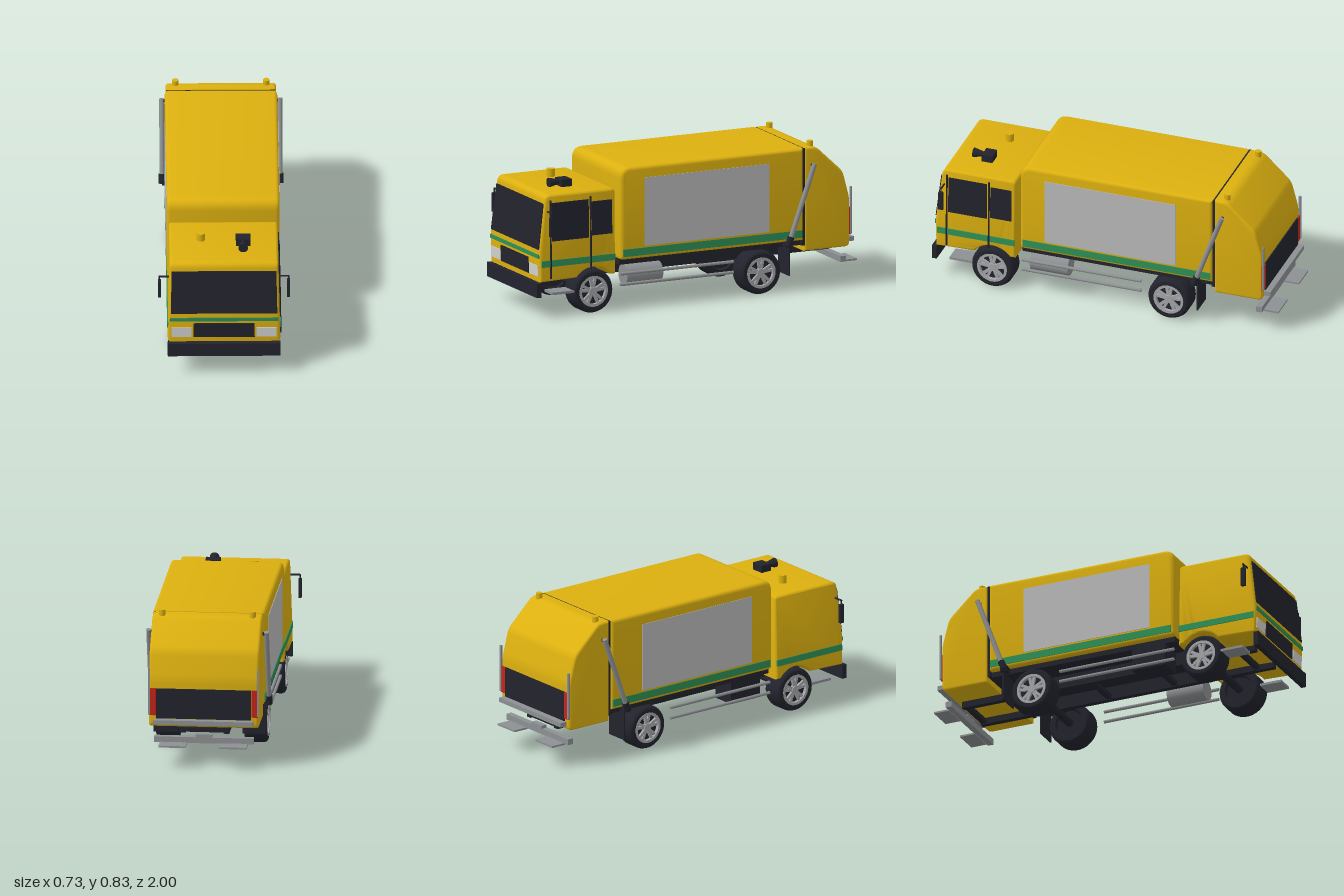
import * as THREE from 'three';
import { toCreasedNormals } from 'three/addons/utils/BufferGeometryUtils.js';

const mat = (name, color) => new THREE.MeshStandardMaterial({ name, color });

export function createModel() {
  const yellow = mat('yellow paint', 0xdcb00f);
  const black = mat('black', 0x22232d);
  const green = mat('green stripe', 0x2f9158);
  const panelGrey = mat('panel grey', 0xbababa);
  const lampWhite = mat('lamp white', 0xd2d2d0);
  const steel = mat('steel', 0x8d9092);
  const rimGrey = mat('rim grey', 0xa4a7a9);
  const red = mat('red lamp', 0xc4241a);

  const truck = new THREE.Group();
  truck.name = 'refuseTruck';

  const add = (name, geo, material, parent = truck) => {
    const m = new THREE.Mesh(geo, material);
    m.name = name;
    parent.add(m);
    return m;
  };
  // box given by its extents
  const box = (name, material, [x0, x1], [y0, y1], [z0, z1], parent) => {
    const g = new THREE.BoxGeometry(x1 - x0, y1 - y0, z1 - z0);
    g.translate((x0 + x1) / 2, (y0 + y1) / 2, (z0 + z1) / 2);
    return add(name, g, material, parent);
  };
  // box on side s (+1 or -1), x measured outwards
  const sideBox = (name, material, s, [x0, x1], y, z) =>
    box(name, material, s > 0 ? [x0, x1] : [-x1, -x0], y, z);
  // round bar between two points
  const bar = (name, material, a, b, r, r2 = r, sides = 16) => {
    const A = new THREE.Vector3(...a), B = new THREE.Vector3(...b);
    const m = add(name, new THREE.CylinderGeometry(r2, r, A.distanceTo(B), sides), material);
    m.position.copy(A).add(B).multiplyScalar(0.5);
    m.quaternion.setFromUnitVectors(new THREE.Vector3(0, 1, 0), B.sub(A).normalize());
    return m;
  };
  // side profile of [z, y, corner radius], extruded across x with rounded edges
  const prism = (pts, halfWidth, bevel) => {
    const shape = new THREE.Shape();
    const n = pts.length;
    pts.forEach(([z, y, r = 0], i) => {
      const p = new THREE.Vector2(z, y);
      const toward = (q) => new THREE.Vector2(q[0], q[1]).sub(p).setLength(r).add(p);
      const a = r ? toward(pts[(i + n - 1) % n]) : p;
      if (i) shape.lineTo(a.x, a.y); else shape.moveTo(a.x, a.y);
      if (r) {
        const b = toward(pts[(i + 1) % n]);
        shape.quadraticCurveTo(z, y, b.x, b.y);
      }
    });
    const depth = 2 * (halfWidth - bevel);
    const g = new THREE.ExtrudeGeometry(shape, {
      depth, curveSegments: 8, bevelEnabled: true, bevelSegments: 4,
      bevelSize: bevel, bevelThickness: bevel, bevelOffset: -bevel,
    });
    g.translate(0, 0, -depth / 2);
    g.rotateY(-Math.PI / 2);
    return g;
  };

  // cab: narrows slightly towards the roof
  const taper = (g) => {
    const p = g.attributes.position;
    for (let i = 0; i < p.count; i++) p.setX(i, p.getX(i) * (1 - 0.07 * (p.getY(i) - 0.2)));
    g.computeVertexNormals();
    return g;
  };
  const arch = [];
  for (let i = 0; i <= 14; i++) {
    const a = 2.48 - (i / 14) * (2.48 - 0.66);
    arch.push([0.65 + 0.13 * Math.cos(a), 0.13 + 0.13 * Math.sin(a)]);
  }
  const cab = [[0.977, 0.203], [0.982, 0.36], [0.942, 0.69, 0.035], [0.515, 0.69, 0.02], [0.515, 0.21], ...arch];
  add('cab', toCreasedNormals(taper(prism(cab, 0.31, 0.014)), 0.6), yellow);

  // thin plates that follow the sloping cab front
  const frontZ = (y) => (y < 0.36 ? 0.977 + (y - 0.203) * 0.032 : 0.982 - (y - 0.36) * 0.121);
  const frontPlate = (name, material, x0, x1, y0, y1) => {
    const g = new THREE.BoxGeometry(x1 - x0, y1 - y0, 0.008);
    g.translate((x0 + x1) / 2, (y0 + y1) / 2, 0.001);
    const p = g.attributes.position;
    for (let i = 0; i < p.count; i++) p.setZ(i, p.getZ(i) + frontZ(p.getY(i)));
    add(name, taper(g), material);
  };
  frontPlate('windscreen', black, -0.297, 0.297, 0.387, 0.642);
  frontPlate('frontStripe', green, -0.302, 0.302, 0.338, 0.36);
  frontPlate('grille', black, -0.169, 0.169, 0.233, 0.323);
  for (const s of [-1, 1]) frontPlate('headlight', lampWhite, s * 0.235 - 0.055, s * 0.235 + 0.055, 0.235, 0.295);
  box('frontBumper', black, [-0.31, 0.31], [0.12, 0.2], [0.972, 1]);

  // door glass and grab rails on the left side
  const glass = [[0.905, 0.68, 0.43, 0.645], [0.66, 0.537, 0.44, 0.63]];
  for (const [z1, z0, y0, y1] of glass) taper(sideBox('sideWindow', black, 1, [0.308, 0.315], [y0, y1], [z0, z1]).geometry);
  bar('grabRail', black, [0.312, 0.22, 0.914], [0.304, 0.66, 0.914], 0.005);
  bar('grabRail', black, [0.312, 0.25, 0.668], [0.304, 0.66, 0.668], 0.005);

  // roof beacon and horn
  bar('cabBeacon', yellow, [-0.125, 0.685, 0.7], [-0.125, 0.735, 0.7], 0.023, 0.023, 24);
  box('hornBody', black, [0.067, 0.147], [0.688, 0.731], [0.705, 0.768]);
  bar('hornBell', black, [0.107, 0.714, 0.765], [0.107, 0.714, 0.828], 0.013, 0.027, 20);

  // refuse body
  const body = [[0.485, 0.28, 0.02], [0.485, 0.8, 0.065], [-0.637, 0.8], [-0.637, 0.28]];
  add('refuseBody', toCreasedNormals(prism(body, 0.31, 0.02), 0.6), yellow);
  box('tailgateSeal', black, [-0.298, 0.298], [0.25, 0.797], [-0.652, -0.63]);

  // rear hopper
  const hopper = [[-0.647, 0.217], [-0.647, 0.8], [-0.72, 0.8, 0.03], [-0.885, 0.645, 0.03],
    [-0.926, 0.49, 0.03], [-0.926, 0.217, 0.03]].reverse();
  add('rearHopper', toCreasedNormals(prism(hopper, 0.303, 0.014), 0.6), yellow);
  box('rearPanel', black, [-0.262, 0.262], [0.268, 0.437], [-0.933, -0.925]);
  box('rearStep', steel, [-0.275, 0.275], [0.24, 0.265], [-0.965, -0.92]);
  box('rearBumper', steel, [-0.275, 0.275], [0.127, 0.16], [-0.915, -0.88]);
  box('plateHolder', steel, [-0.045, 0.045], [0.155, 0.178], [-0.92, -0.885]);

  // chassis
  box('subframe', black, [-0.28, 0.28], [0.25, 0.282], [-0.64, 0.48]);
  for (const z of [0.8, 0.3, -0.1, -0.6, -0.86]) box('crossMember', black, [-0.12, 0.12], [0.18, 0.205], [z - 0.015, z + 0.015]);
  for (const z of [0.65, -0.38]) bar('axle', black, [-0.22, 0.125, z], [0.22, 0.125, z], 0.022);
  bar('airTank', steel, [0.235, 0.182, 0.215], [0.235, 0.182, 0.435], 0.057, 0.057, 32);
  box('batteryBox', black, [-0.28, -0.14], [0.125, 0.25], [0.22, 0.42]);

  // wheels
  const tyreProfile = [[0, -0.05], [0.075, -0.05], [0.082, -0.062], [0.108, -0.062], [0.118, -0.055], [0.123, -0.042],
    [0.123, 0.042], [0.118, 0.055], [0.108, 0.062], [0.086, 0.062], [0.082, 0.04], [0, 0.04]];
  const tyreGeo = toCreasedNormals(new THREE.LatheGeometry(tyreProfile.map(([r, y]) => new THREE.Vector2(r, y)), 40), 0.6);
  tyreGeo.rotateZ(-Math.PI / 2);
  const ringShape = new THREE.Shape().absarc(0, 0, 0.087, 0, Math.PI * 2);
  ringShape.holes.push(new THREE.Path().absarc(0, 0, 0.072, 0, Math.PI * 2, true));
  const ringGeo = new THREE.ExtrudeGeometry(ringShape, { depth: 0.02, bevelEnabled: false, curveSegments: 32 });
  ringGeo.rotateY(Math.PI / 2).translate(0.044, 0, 0);
  const wheel = (s, z) => {
    const w = new THREE.Group();
    w.name = 'wheel';
    add('tyre', tyreGeo, black, w);
    add('rimRing', ringGeo, rimGrey, w);
    add('hub', new THREE.CylinderGeometry(0.022, 0.026, 0.022, 20).rotateZ(-Math.PI / 2).translate(0.05, 0, 0), rimGrey, w);
    for (let i = 0; i < 10; i++) {
      const a = Math.floor(i / 2) * Math.PI * 0.4 + (i % 2 ? 0.19 : -0.19);
      add('spoke', new THREE.BoxGeometry(0.014, 0.062, 0.016).translate(0.05, 0.046, 0).rotateX(a), rimGrey, w);
    }
    w.position.set(s * 0.244, 0.123, z);
    w.rotation.y = s > 0 ? 0 : Math.PI;
    truck.add(w);
  };

  // everything that repeats on both sides
  for (const s of [-1, 1]) {
    wheel(s, 0.65);
    wheel(s, -0.38);
    taper(sideBox('cabStripe', green, s, [0.308, 0.315], [0.288, 0.324], [0.518, 0.97]).geometry);
    sideBox('bodyStripe', green, s, [0.308, 0.313], [0.298, 0.34], [-0.628, 0.47]);
    sideBox('sidePanel', panelGrey, s, [0.308, 0.313], [0.35, 0.735], [-0.425, 0.34]);
    sideBox('chassisRail', black, s, [0.105, 0.137], [0.175, 0.255], [-0.64, 0.5]);
    sideBox('chassisRailEnd', black, s, [0.105, 0.137], [0.175, 0.212], [-0.88, 0.9]);
    sideBox('mudflap', black, s, [0.178, 0.312], [0.09, 0.255], [-0.554, -0.546]);
    sideBox('cabStep', steel, s, [0.2, 0.3], [0.125, 0.139], [0.75, 0.9]);
    for (const y of [0.2, 0.14]) bar('sideGuard', steel, [s * 0.29, y, 0.48], [s * 0.29, y, -0.215], 0.009);

    // mirrors
    bar('mirrorArm', black, [s * 0.295, 0.598, 0.93], [s * 0.36, 0.598, 0.93], 0.005);
    bar('mirrorStem', black, [s * 0.356, 0.6, 0.93], [s * 0.356, 0.57, 0.93], 0.004);
    sideBox('mirror', black, s, [0.346, 0.363], [0.468, 0.575], [0.918, 0.944]);

    // tailgate ram
    bar('ram', steel, [s * 0.325, 0.71, -0.698], [s * 0.325, 0.29, -0.546], 0.014);
    bar('ramFoot', black, [s * 0.325, 0.312, -0.554], [s * 0.325, 0.262, -0.534], 0.019);
    sideBox('ramBracket', black, s, [0.27, 0.325], [0.255, 0.285], [-0.56, -0.52]);
    bar('ramPin', black, [s * 0.295, 0.7, -0.694], [s * 0.325, 0.7, -0.694], 0.01);

    // rear lamps, handrails, beacons and footplates
    sideBox('rearLamp', red, s, [0.264, 0.3], [0.285, 0.437], [-0.934, -0.915]);
    sideBox('rearHandrail', steel, s, [0.296, 0.307], [0.29, 0.555], [-0.937, -0.926]);
    bar('hopperBeacon', yellow, [s * 0.25, 0.79, -0.705], [s * 0.25, 0.827, -0.705], 0.018, 0.018, 20);
    sideBox('footplate', steel, s, [0.093, 0.243], [0.12, 0.13], [-1, -0.91]);
  }
  return truck;
}
